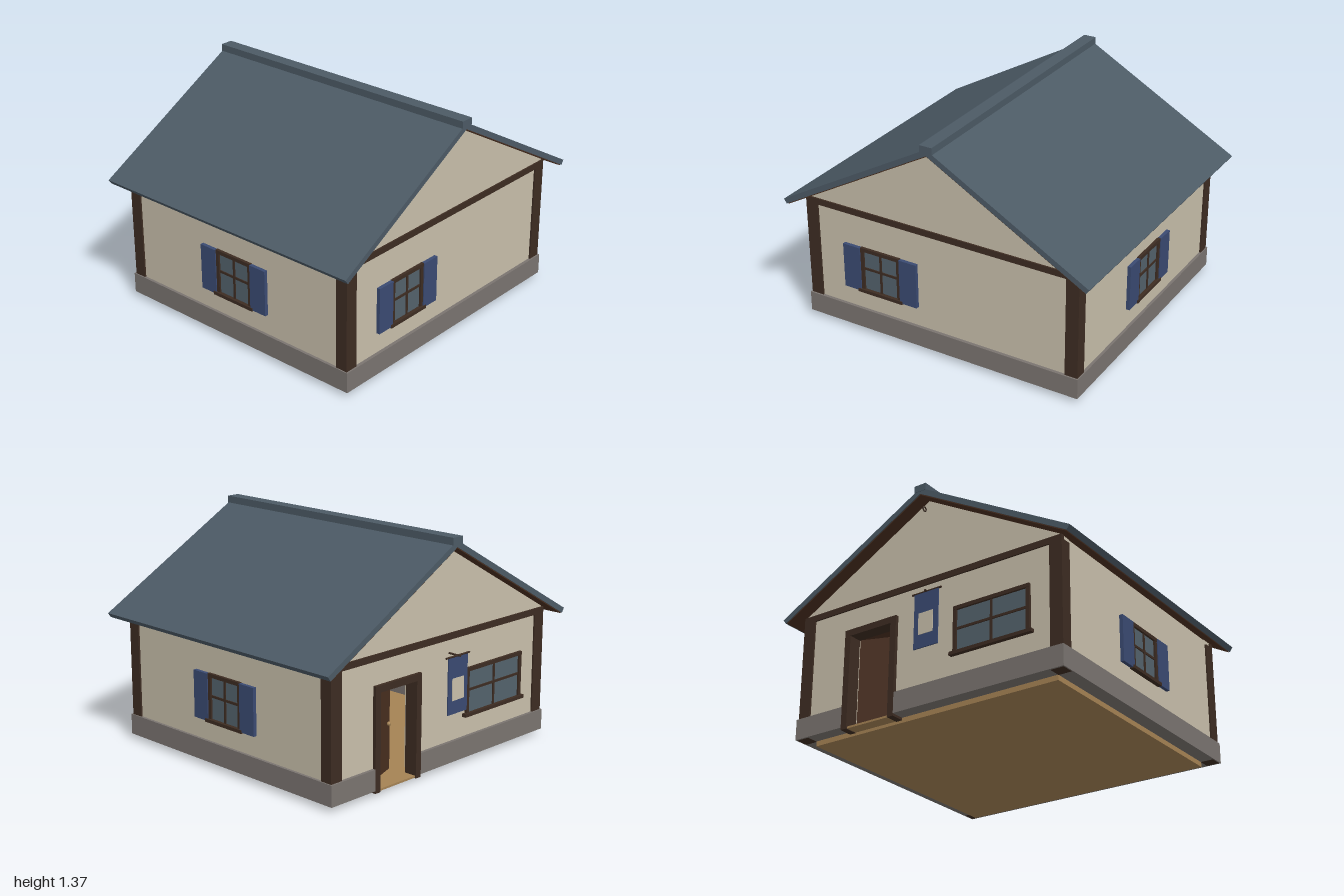
import * as THREE from 'three';

const mat = (name, color) => {
  const m = new THREE.MeshStandardMaterial({ color });
  m.name = name;
  return m;
};

export function createModel() {
  const house = new THREE.Group();
  house.name = 'cottage';

  const plaster = mat('plaster', 0xc8bfab);
  const stone = mat('stone', 0x7a7470);
  const timber = mat('darkTimber', 0x3d2c22);
  const wood = mat('doorWood', 0x4a2f20);
  const slate = mat('slateRoof', 0x4c5a65);
  const blue = mat('bluePaint', 0x3a4a72);
  const glass = mat('glass', 0x53626c);
  const boards = mat('floorBoards', 0xa58354);

  // Box given by its min and max corners
  const box = (name, material, [x0, y0, z0], [x1, y1, z1], parent = house) => {
    const mesh = new THREE.Mesh(new THREE.BoxGeometry(x1 - x0, y1 - y0, z1 - z0), material);
    mesh.position.set((x0 + x1) / 2, (y0 + y1) / 2, (z0 + z1) / 2);
    mesh.name = name;
    parent.add(mesh);
    return mesh;
  };
  // Outline in x, y extruded from z0 to z1
  const prism = (name, material, points, z0, z1) => {
    const shape = new THREE.Shape(points.map(([x, y]) => new THREE.Vector2(x, y)));
    const geo = new THREE.ExtrudeGeometry(shape, { depth: z1 - z0, bevelEnabled: false });
    geo.translate(0, 0, z0);
    const mesh = new THREE.Mesh(geo, material);
    mesh.name = name;
    house.add(mesh);
    return mesh;
  };

  const WX = 0.89, WZ = 0.832;              // outer wall faces
  const DOOR_L = 0.535, DOOR_R = 0.235;     // doorway sides

  // Floor and stone footing, open at the doorway
  box('floor', boards, [-0.82, 0, -0.77], [0.82, 0.03, 0.77]);
  box('doorStep', boards, [DOOR_R, 0.018, -0.845], [DOOR_L, 0.03, -0.77]);
  box('frontFooting', stone, [-0.907, 0.03, 0.77], [0.907, 0.155, 0.852]);
  box('backFooting', stone, [-0.907, 0.03, -0.852], [0.2, 0.155, -0.77]);
  box('backFooting', stone, [0.57, 0.03, -0.852], [0.907, 0.155, -0.77]);
  for (const s of [-1, 1]) {
    const x = s * 0.8635;
    box('sideFooting', stone, [x - 0.0435, 0.03, -0.77], [x + 0.0435, 0.155, 0.77]);
  }

  // Gable walls
  const gable = [[WX, 0.06], [WX, 0.805], [0, 1.305], [-WX, 0.805], [-WX, 0.06]];
  const doorway = [[DOOR_R, 0.06], [DOOR_R, 0.595], [DOOR_L, 0.595], [DOOR_L, 0.06]];
  prism('frontWall', plaster, gable, 0.76, WZ);
  prism('backWall', plaster, [...gable, ...doorway], -WZ, -0.76);

  // Side walls, corner posts, gable beams
  for (const s of [-1, 1]) {
    const x = s * 0.855;
    box('sideWall', plaster, [x - 0.035, 0.06, -0.76], [x + 0.035, 0.8, 0.76]);
    for (const t of [-1, 1]) {
      const px = s * 0.86, pz = t * 0.804;
      box('cornerPost', timber, [px - 0.04, 0.029, pz - 0.038], [px + 0.04, 0.775, pz + 0.038]);
    }
    const bz = s * 0.83;
    box('gableBeam', timber, [-0.9, 0.762, bz - 0.012], [0.9, 0.8, bz + 0.012]);
  }

  // Roof slopes with timber undersides, and ridge cap
  for (const s of [-1, 1]) {
    prism('roofSlope', slate,
      [[0, 1.31], [s * 0.981, 0.76], [s, 0.787], [0, 1.348]], -0.92, 0.92);
    prism('roofUnderside', wood,
      [[0, 1.31], [s * 0.975, 0.763], [s * 0.973, 0.758], [0, 1.304]], -0.915, 0.915);
  }
  box('ridgeCap', slate, [-0.04, 1.325, -0.923], [0.04, 1.368, 0.923]);

  // Window on a wall: local z points out of the wall
  const addWindow = (name, x, z, turn, w, shutters) => {
    const g = new THREE.Group();
    g.name = name;
    g.position.set(x, 0, z);
    g.rotation.y = turn;
    house.add(g);
    const h = w / 2, y0 = 0.28, y1 = 0.565, t = 0.022;
    box('pane', glass, [-h + 0.01, y0, -0.002], [h - 0.01, y1 - 0.01, 0.005], g);
    for (const s of [-1, 1]) {
      const c = s * (h - t / 2);
      box('jamb', timber, [c - t / 2, y0, -0.005], [c + t / 2, y1 - t, 0.016], g);
      if (shutters) {
        const p = s * (h + 0.058);
        box('shutter', blue, [p - 0.058, y0, 0], [p + 0.058, 0.562, 0.022], g);
      }
    }
    box('head', timber, [-h, y1 - t, -0.005], [h, y1, 0.018], g);
    box('sill', timber, [-h - 0.018, 0.274, -0.005], [h + 0.018, 0.294, 0.027], g);
    box('verticalBar', timber, [-0.007, y0, 0], [0.007, y1 - t, 0.011], g);
    box('crossBar', timber, [-h + t, 0.423, 0], [h - t, 0.437, 0.011], g);
  };
  addWindow('frontWindow', -0.39, WZ, 0, 0.27, true);
  addWindow('leftWindow', WX, 0, Math.PI / 2, 0.27, true);
  addWindow('rightWindow', -WX, 0, -Math.PI / 2, 0.27, true);
  addWindow('backWindow', -0.445, -WZ, Math.PI, 0.5, false);

  // Door frame and the door standing ajar
  box('doorJamb', timber, [0.53, 0.015, -0.853], [0.57, 0.585, -0.77]);
  box('doorJamb', timber, [0.2, 0.015, -0.853], [0.24, 0.585, -0.77]);
  box('doorHead', timber, [0.2, 0.585, -0.853], [0.57, 0.625, -0.77]);
  const door = new THREE.Group();
  door.name = 'door';
  door.position.set(0.53, 0, -0.765);
  door.rotation.y = 0.35;
  house.add(door);
  box('doorLeaf', wood, [-0.29, 0.032, 0], [0, 0.59, 0.022], door);
  const knob = new THREE.Mesh(new THREE.SphereGeometry(0.012, 10, 8), boards);
  knob.name = 'doorKnob';
  knob.position.set(-0.255, 0.31, -0.01);
  door.add(knob);

  // Hanging banner beside the door
  const rod = (name, length, x, z, alongX) => {
    const mesh = new THREE.Mesh(new THREE.CylinderGeometry(0.006, 0.006, length, 8), timber);
    mesh.name = name;
    mesh.position.set(x, 0.682, z);
    mesh.rotation[alongX ? 'z' : 'x'] = Math.PI / 2;
    house.add(mesh);
  };
  rod('bannerArm', 0.087, -0.05, -0.873, false);
  rod('bannerRod', 0.2, -0.05, -0.897, true);
  box('banner', blue, [-0.132, 0.345, -0.901], [0.032, 0.68, -0.894]);
  box('bannerPatch', plaster, [-0.1, 0.425, -0.904], [0, 0.555, -0.9]);

  // Small ring under the back gable peak
  const ring = new THREE.Mesh(new THREE.TorusGeometry(0.014, 0.004, 6, 12), timber);
  ring.name = 'gableRing';
  ring.position.set(0.02, 1.25, -0.85);
  ring.rotation.y = Math.PI / 2;
  house.add(ring);

  return house;
}
